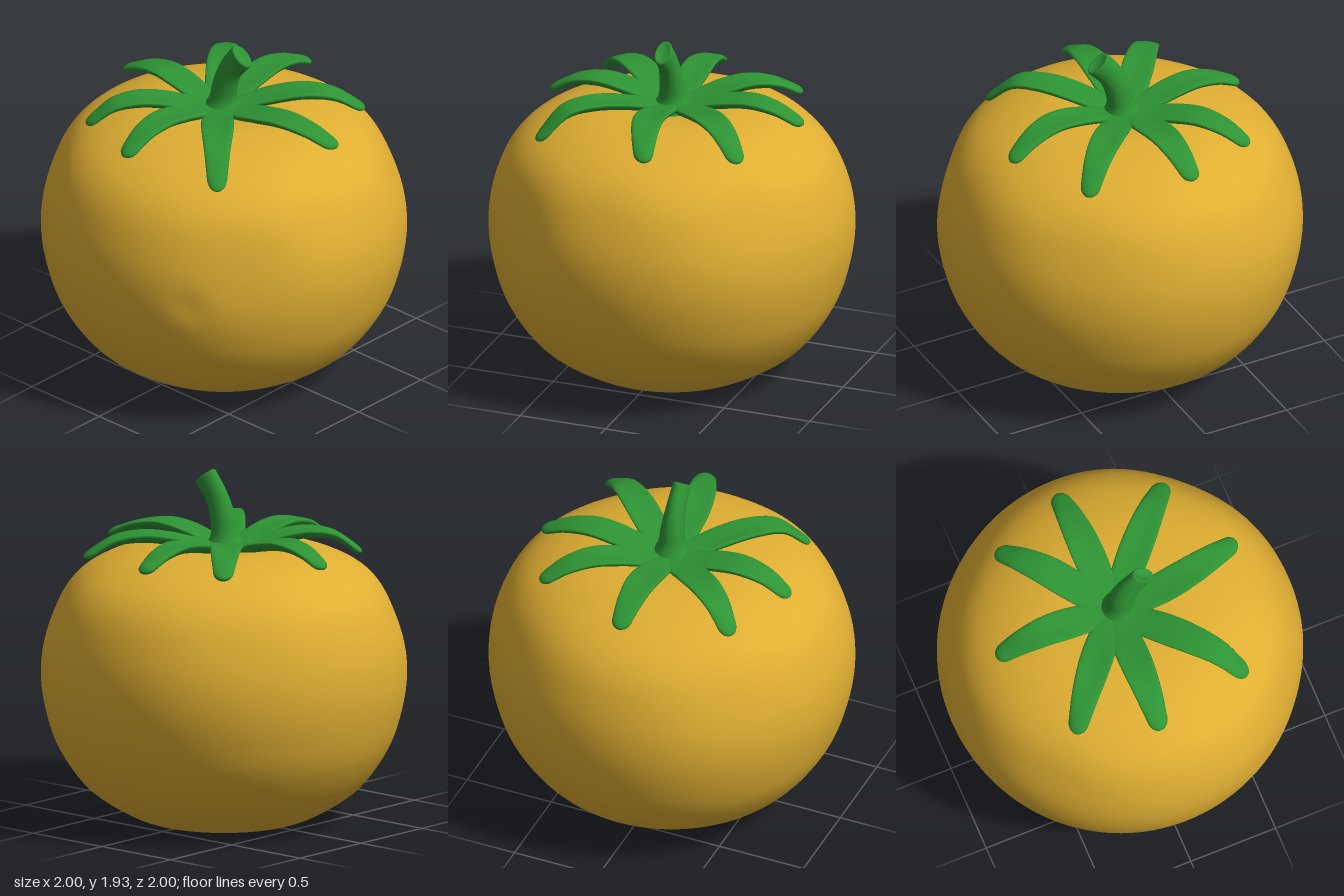
import * as THREE from 'three';
import { mergeVertices } from 'three/addons/utils/BufferGeometryUtils.js';

const V = (x, y, z) => new THREE.Vector3(x, y, z);

// Skin over closed rings of points, with a centre point closing each end
function loft(rings, startTip, endTip) {
  const n = rings[0].length, pts = rings.flat(), index = [];
  const last = (rings.length - 1) * n, a = pts.length, b = a + 1;
  pts.push(startTip, endTip);
  for (let j = 0; j < n; j++) {
    const k = (j + 1) % n;
    for (let i = 0; i < last; i += n) {
      index.push(i + j, i + k, i + n + k, i + j, i + n + k, i + n + j);
    }
    index.push(a, k, j, b, last + j, last + k);
  }
  const geometry = new THREE.BufferGeometry().setFromPoints(pts);
  geometry.setIndex(index);
  geometry.computeVertexNormals();
  return geometry;
}

// Smooth value along evenly spaced keys
function sample(keys, t) {
  const f = Math.min(t, 1) * (keys.length - 1);
  const i = Math.min(Math.floor(f), keys.length - 2), w = f - i;
  const k = (m) => keys[Math.max(0, Math.min(keys.length - 1, m))];
  const p0 = k(i - 1), p1 = k(i), p2 = k(i + 1), p3 = k(i + 2);
  return p1 + 0.5 * w * (p2 - p0 + w * (2 * p0 - 5 * p1 + 4 * p2 - p3 + w * (3 * (p1 - p2) + p3 - p0)));
}

// Fruit: turned profile with dimples at both ends, then softly dented
function fruitGeometry() {
  const profile = new THREE.SplineCurve([
    [0, 0.07], [0.15, 0.055], [0.3, 0.02], [0.42, 0.003], [0.58, 0.07], [0.76, 0.2],
    [0.9, 0.4], [0.97, 0.6], [1, 0.8], [0.985, 1], [0.92, 1.2], [0.83, 1.33],
    [0.7, 1.42], [0.52, 1.485], [0.32, 1.515], [0.15, 1.505], [0, 1.48],
  ].map(([x, y]) => new THREE.Vector2(x, y)));
  const points = profile.getPoints(80);
  points[0].x = points[80].x = 0;
  let geometry = new THREE.LatheGeometry(points, 128);
  geometry.deleteAttribute('uv');
  geometry.deleteAttribute('normal');
  geometry = mergeVertices(geometry, 1e-5);

  // Dents: centre, radius, depth
  const dents = [
    [V(0.6, 1.25, -0.62), 0.3, 0.03], [V(0.72, 1.0, 0.62), 0.26, 0.025],
    [V(-0.65, 1.2, 0.6), 0.25, 0.02], [V(-0.6, 1.25, -0.6), 0.28, 0.02],
    [V(0.52, 0.8, 0.84), 0.08, 0.012], [V(0.85, 1.25, 0.1), 0.22, 0.015],
  ];
  const pos = geometry.attributes.position, p = V(0, 0, 0);
  for (let i = 0; i < pos.count; i++) {
    p.fromBufferAttribute(pos, i);
    let s = 1;
    for (const [c, r, depth] of dents) s -= depth * Math.exp(-p.distanceToSquared(c) / (r * r));
    pos.setXYZ(i, p.x * s, p.y, p.z * s);
  }
  geometry.computeVertexNormals();
  return geometry;
}

// Sepal: arched, channelled leaf running from the crown to its tip
function sepalGeometry(tipX, tipY, tipZ, bend) {
  const base = V(-0.045, 0, 0);
  const span = V(tipX, 0, tipZ).sub(base), length = span.length();
  const d = span.clone().normalize(), side = V(d.z, 0, -d.x);
  const heights = [1.515, 1.535, 1.568, 1.585, 1.56, tipY + 0.025];
  const widths = [0.07, 0.082, 0.09, 0.085, 0.07, 0.05];
  const rings = [], centres = [];
  const steps = 28, sides = 20;
  for (let i = 0; i <= steps; i++) {
    // Quarter-round closing at the tip
    const t = i < 22 ? (i / 22) * 0.93 : 0.93 + 0.07 * Math.sin(((i - 22) / 6) * Math.PI / 2 * 0.96);
    const round = t > 0.93 ? Math.sqrt(Math.max(0, 1 - ((t - 0.93) / 0.07) ** 2)) : 1;
    const w = sample(widths, t) * round, h = 0.027 * round;
    const c = base.clone().addScaledVector(d, t * length)
      .addScaledVector(side, bend * Math.sin(Math.PI * t));
    c.y = sample(heights, t);
    const lift = 0.026 * Math.sin(Math.PI * Math.min(1, t * 1.05));
    const ring = [];
    for (let j = 0; j < sides; j++) {
      const a = (j / sides) * Math.PI * 2, u = Math.cos(a), v = Math.sin(a);
      const p = c.clone().addScaledVector(side, w * u);
      p.y += h * v + lift * (u * u - 0.4);
      ring.push(p);
    }
    rings.push(ring);
    centres.push(c);
  }
  return loft(rings, centres[0], centres[steps]);
}

// Stem: flared foot, curved neck and a slightly hollow oval cut end
function stemGeometry() {
  const path = new THREE.CatmullRomCurve3([
    V(-0.01, 1.49, 0), V(-0.005, 1.58, 0), V(0.012, 1.68, 0), V(0.055, 1.785, 0), V(0.13, 1.88, 0),
  ]);
  const inPlane = [0.12, 0.078, 0.072, 0.07, 0.074];
  const across = [0.12, 0.076, 0.064, 0.052, 0.046];
  const rings = [];
  const addRing = (c, tangent, ru, rv) => {
    const u = V(tangent.y, -tangent.x, 0), ring = [];
    for (let j = 0; j < 28; j++) {
      const a = (j / 28) * Math.PI * 2;
      const p = c.clone().addScaledVector(u, ru * Math.cos(a));
      p.z -= rv * Math.sin(a);
      ring.push(p);
    }
    rings.push(ring);
  };
  for (let i = 0; i <= 24; i++) {
    const t = i / 24;
    addRing(path.getPoint(t), path.getTangent(t), sample(inPlane, t), sample(across, t));
  }
  const end = path.getPoint(1), dir = path.getTangent(1);
  for (const [out, k] of [[0.008, 0.95], [0.01, 0.85], [0.002, 0.6]]) {
    addRing(end.clone().addScaledVector(dir, out), dir, 0.074 * k, 0.046 * k);
  }
  return loft(rings, path.getPoint(0), end.clone().addScaledVector(dir, -0.005));
}

export function createModel() {
  const yellow = new THREE.MeshStandardMaterial({ color: 0xdfae32 });
  yellow.name = 'golden skin';
  const green = new THREE.MeshStandardMaterial({ color: 0x2e9434 });
  green.name = 'leaf green';

  const model = new THREE.Group();
  model.name = 'tomato';
  const add = (parent, name, geometry, material) => {
    const mesh = new THREE.Mesh(geometry, material);
    mesh.name = name;
    parent.add(mesh);
  };
  add(model, 'fruit', fruitGeometry(), yellow);

  // Crown of eight sepals: tip position and sideways bend
  const crown = new THREE.Group();
  crown.name = 'crown';
  model.add(crown);
  [
    [0.735, 1.475, -0.115, -0.05], [0.505, 1.4, 0.6, 0], [-0.065, 1.46, 0.735, 0], [-0.5, 1.44, 0.57, 0],
    [-0.735, 1.475, 0, 0], [-0.5, 1.47, -0.57, 0], [-0.065, 1.475, -0.745, 0], [0.505, 1.45, -0.585, 0],
  ].forEach((s, i) => add(crown, `sepal${i + 1}`, sepalGeometry(...s), green));

  add(model, 'stem', stemGeometry(), green);
  return model;
}
